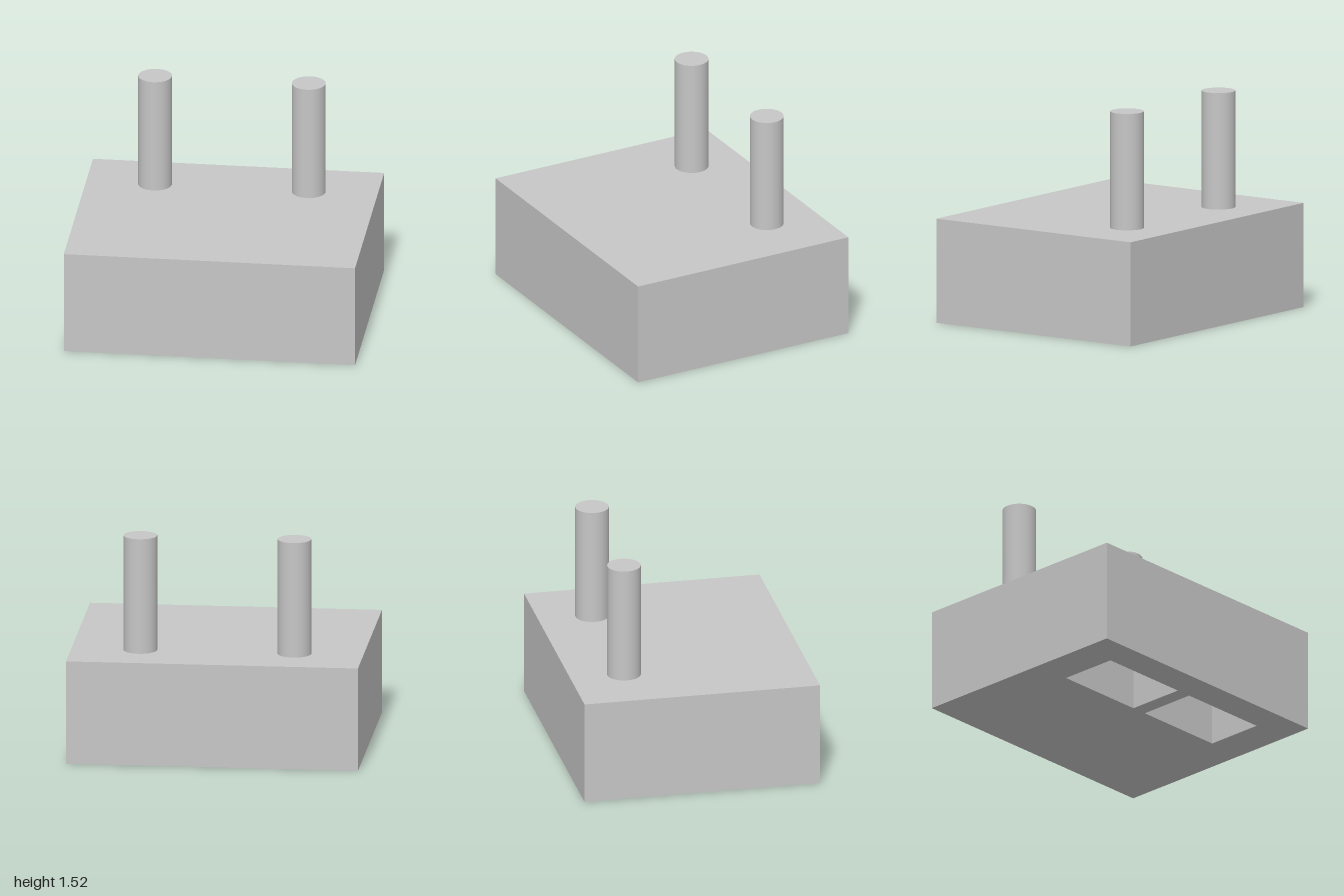
import * as THREE from 'three';

const WIDTH = 2, HEIGHT = 0.72, DEPTH = 1.64;
const POCKET = { w: 0.67, h: 0.56, d: 0.416, x: 0.391, z: 0.387 };
const PIN = { r: 0.115, h: 0.805, x: 0.528, z: -0.446 };

// Box standing on y = 0 without its bottom face; inward turns the faces inside
function openBox(w, h, d, inward = false) {
  const geo = new THREE.BoxGeometry(w, h, d).translate(0, h / 2, 0);
  const index = Array.from(geo.index.array);
  index.splice(18, 6); // the fourth face is the bottom
  if (inward) {
    index.reverse();
    const n = geo.attributes.normal;
    for (let i = 0; i < n.count; i++) n.setXYZ(i, -n.getX(i), -n.getY(i), -n.getZ(i));
  }
  geo.setIndex(index);
  geo.clearGroups();
  return geo;
}

// Rectangle outline centred on (x, z)
function rectangle(PathType, w, d, x = 0, z = 0) {
  const corners = [[-1, -1], [1, -1], [1, 1], [-1, 1]];
  return new PathType(corners.map(([a, b]) => new THREE.Vector2(x + a * w / 2, z + b * d / 2)));
}

export function createModel() {
  const model = new THREE.Group();
  model.name = 'pinnedBlock';
  const grey = new THREE.MeshStandardMaterial({ color: 0xc6c6c6 });
  grey.name = 'light grey';

  const add = (name, geo, x = 0, y = 0, z = 0) => {
    const mesh = new THREE.Mesh(geo, grey);
    mesh.name = name;
    mesh.position.set(x, y, z);
    model.add(mesh);
  };

  // Block sides and top
  add('block', openBox(WIDTH, HEIGHT, DEPTH));

  // Underside with two openings
  const under = rectangle(THREE.Shape, WIDTH, DEPTH);
  for (const s of [-1, 1]) {
    under.holes.push(rectangle(THREE.Path, POCKET.w, POCKET.d, s * POCKET.x, POCKET.z));
  }
  add('underside', new THREE.ShapeGeometry(under).rotateX(Math.PI / 2));

  // Pockets and pins, mirrored left and right
  for (const [side, s] of [['left', 1], ['right', -1]]) {
    add(side + 'Pocket', openBox(POCKET.w, POCKET.h, POCKET.d, true), s * POCKET.x, 0, POCKET.z);
    add(side + 'Pin', new THREE.CylinderGeometry(PIN.r, PIN.r, PIN.h, 48),
      s * PIN.x, HEIGHT + PIN.h / 2, PIN.z);
  }
  return model;
}
